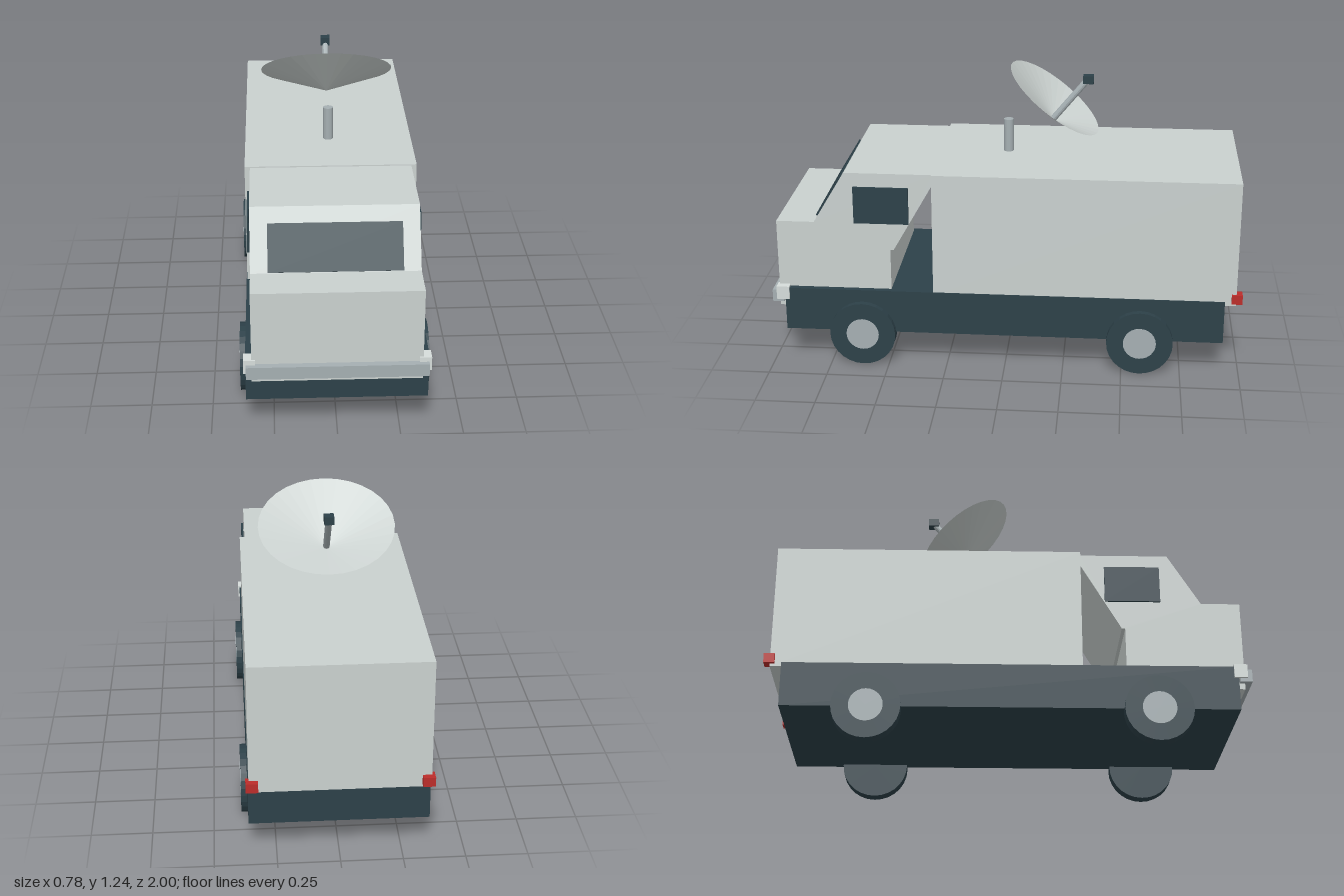
import * as THREE from 'three';

const mat = (name, color, extra = {}) => {
  const m = new THREE.MeshStandardMaterial({ color, flatShading: true, ...extra });
  m.name = name;
  return m;
};

export function createModel() {
  const body = mat('pale body', 0xcad1cf);
  const dishMat = body.clone();
  dishMat.name = 'pale dish';
  dishMat.side = THREE.DoubleSide;
  const dark = mat('dark slate', 0x2d4149);
  const metal = mat('grey metal', 0xa5afb2);
  const lamp = mat('lamp white', 0xd6dddb);
  const red = mat('tail red', 0xbc2d2a);

  const group = new THREE.Group();
  const add = (name, geo, material, x = 0, y = 0, z = 0) => {
    const m = new THREE.Mesh(geo, material);
    m.name = name;
    m.position.set(x, y, z);
    group.add(m);
    return m;
  };
  // box given by its limits on each axis
  const box = (name, material, [x0, x1], [y0, y1], [z0, z1]) =>
    add(name, new THREE.BoxGeometry(x1 - x0, y1 - y0, z1 - z0), material,
      (x0 + x1) / 2, (y0 + y1) / 2, (z0 + z1) / 2);
  // the same box on both sides
  const pair = (name, material, [x0, x1], ys, zs) => {
    box(name + 'Left', material, [x0, x1], ys, zs);
    box(name + 'Right', material, [-x1, -x0], ys, zs);
  };

  // chassis and cargo box
  box('chassis', dark, [-0.36, 0.36], [0.145, 0.335], [-0.928, 0.944]);
  box('cargoBox', body, [-0.357, 0.357], [0.318, 0.862], [-0.975, 0.305]);

  // cab: side profile (z, y) extruded across the width
  const profile = [
    [0.972, 0.245], [0.972, 0.633], [0.81, 0.633], [0.675, 0.857], [0.305, 0.857],
    [0.305, 0.81], [0.473, 0.515], [0.487, 0.515], [0.487, 0.245],
  ].map(([z, y]) => new THREE.Vector2(z, y));
  const cab = new THREE.ExtrudeGeometry(new THREE.Shape(profile), { depth: 0.67, bevelEnabled: false });
  cab.translate(0, 0, -0.335).rotateY(-Math.PI / 2);
  add('cab', cab, body);

  // windows
  const windshield = add('windshield', new THREE.BoxGeometry(0.532, 0.193, 0.009), dark, 0, 0.719, 0.762);
  windshield.rotation.x = -Math.atan2(0.135, 0.224);
  pair('sideWindow', dark, [0.338, 0.347], [0.637, 0.798], [0.405, 0.638]);

  // bumper and lamps
  box('bumper', metal, [-0.357, 0.357], [0.27, 0.323], [0.95, 1]);
  pair('headlight', lamp, [0.32, 0.367], [0.285, 0.343], [0.925, 0.98]);
  pair('tailLight', red, [0.32, 0.369], [0.33, 0.37], [-1, -0.955]);

  // wheels with hubs
  const tyre = new THREE.CylinderGeometry(0.141, 0.141, 0.057, 28).rotateZ(Math.PI / 2);
  const hub = new THREE.CylinderGeometry(0.07, 0.07, 0.02, 24).rotateZ(Math.PI / 2);
  for (const [end, z] of [['front', 0.61], ['rear', -0.576]]) {
    for (const [side, s] of [['Left', 1], ['Right', -1]]) {
      add(`${end}Wheel${side}`, tyre, dark, s * 0.3575, 0.141, z);
      add(`${end}Hub${side}`, hub, metal, s * 0.378, 0.141, z);
    }
  }

  // mast on the roof
  add('mast', new THREE.CylinderGeometry(0.021, 0.021, 0.147, 20), metal, 0, 0.9315, 0.01);

  // dish: a shallow cone leaning backwards, its rim a tilted ellipse
  const dish = new THREE.ConeGeometry(1, 1, 32, 1, true);
  const p = dish.attributes.position;
  for (let i = 0; i < p.count; i++) {
    const x = p.getX(i), t = p.getZ(i), rim = 0.5 - p.getY(i);
    p.setXYZ(i, 0.285 * x, 1.006 + 0.099 * rim + 0.139 * t, -0.182 - 0.006 * rim + 0.1885 * t);
  }
  dish.computeVertexNormals();
  add('dish', dish, dishMat);

  // feed arm and receiver
  const from = new THREE.Vector3(0, 1.012, -0.183), to = new THREE.Vector3(0, 1.185, -0.325);
  const dir = to.clone().sub(from);
  const arm = add('feedArm', new THREE.CylinderGeometry(0.014, 0.014, dir.length(), 12), metal);
  arm.position.copy(from).add(to).multiplyScalar(0.5);
  arm.quaternion.setFromUnitVectors(new THREE.Vector3(0, 1, 0), dir.normalize());
  box('feedReceiver', dark, [-0.02, 0.02], [1.172, 1.206], [-0.352, -0.307]);

  return group;
}
